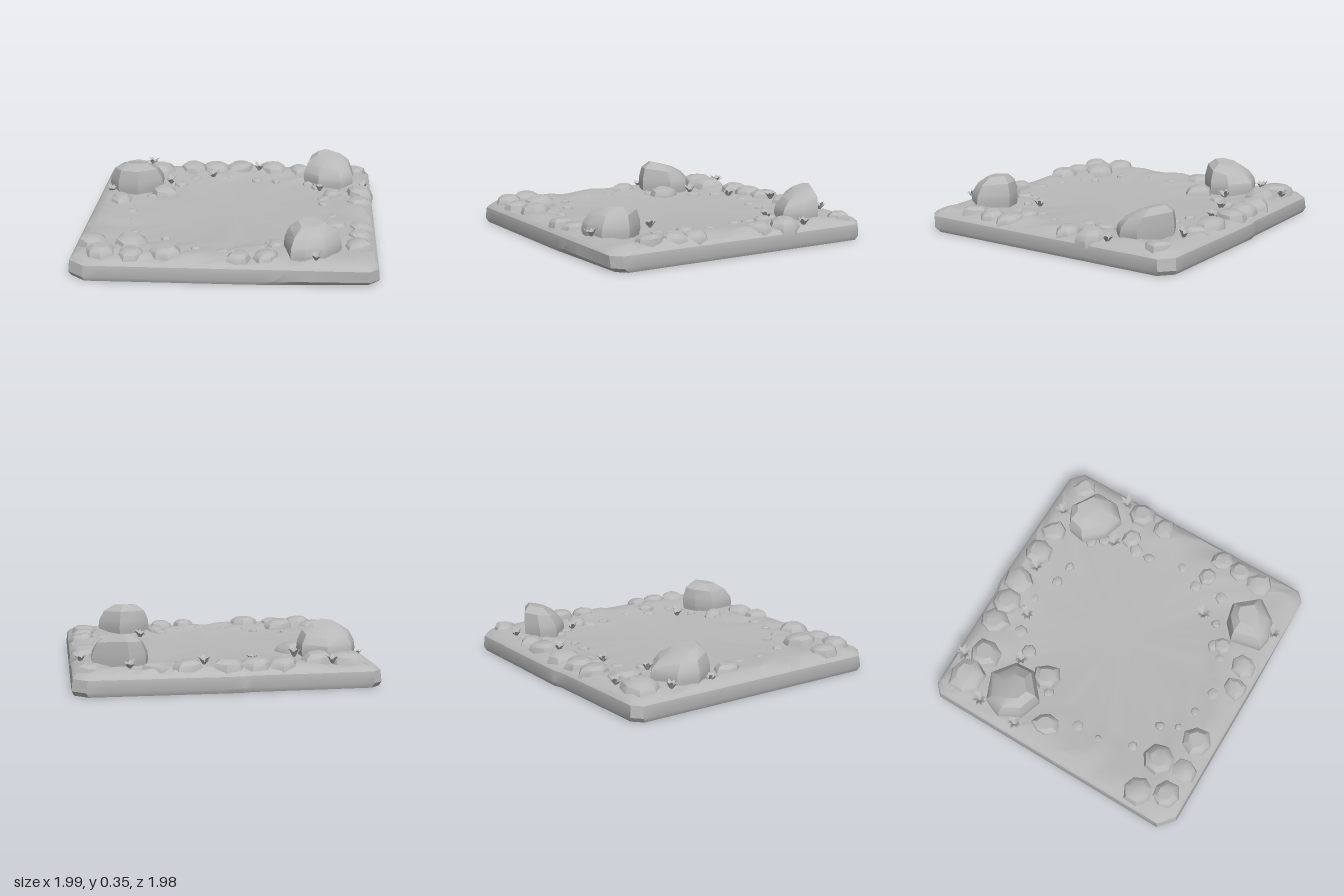
import * as THREE from 'three';
import { toCreasedNormals } from 'three/addons/utils/BufferGeometryUtils.js';

const stone = new THREE.MeshStandardMaterial({ color: 0xb8b8b8 });
stone.name = 'grey stone';
const leaf = new THREE.MeshStandardMaterial({ color: 0xb8b8b8, side: THREE.DoubleSide });
leaf.name = 'grey leaf';

// seeded random numbers
let seed = 7;
const rnd = () => {
  seed = (seed * 16807) % 2147483647;
  return seed / 2147483647;
};

// skins equal-sized rings from bottom to top and closes both ends
function loft(rings, crease) {
  const n = rings[0].length, pos = [], idx = [];
  rings.forEach(r => r.forEach(p => pos.push(...p)));
  const centre = r => [0, 1, 2].map(k => r.reduce((s, p) => s + p[k], 0) / n);
  pos.push(...centre(rings[0]), ...centre(rings[rings.length - 1]));
  const low = rings.length * n, high = low + 1, last = low - n;
  for (let j = 0; j < n; j++) {
    const k = (j + 1) % n;
    for (let i = 0; i < rings.length - 1; i++) {
      const a = i * n + j, b = i * n + k;
      idx.push(a, a + n, b, b, a + n, b + n);
    }
    idx.push(low, j, k, high, last + k, last + j);
  }
  const g = new THREE.BufferGeometry();
  g.setAttribute('position', new THREE.Float32BufferAttribute(pos, 3));
  g.setIndex(idx);
  return toCreasedNormals(g, crease);
}

function add(group, name, geometry, material = stone) {
  const m = new THREE.Mesh(geometry, material);
  m.name = name;
  group.add(m);
  return m;
}

function subgroup(parent, name) {
  const g = new THREE.Group();
  g.name = name;
  parent.add(g);
  return g;
}

// slab with chamfered corners, rounded rim and an uneven border around a flat floor
function slabGeometry() {
  const corners = [[0.99, 0.88], [0.93, 0.94], [-0.87, 0.985], [-0.975, 0.9],
    [-1, -0.85], [-0.94, -0.91], [-0.16, -0.95], [-0.09, -0.97], [0.87, -0.995], [0.96, -0.92]];
  const outline = [];
  corners.forEach(([x, z], i) => {
    const [u, v] = corners[(i + 1) % corners.length];
    const steps = Math.max(1, Math.round(Math.hypot(u - x, v - z) / 0.1));
    for (let s = 0; s < steps; s++) outline.push([x + (u - x) * s / steps, z + (v - z) * s / steps]);
  });
  // scale, height, bump
  const levels = [[0.985, 0, 0], [1, 0.03, 0], [0.992, 0.105, 0], [0.97, 0.128, 0],
    [0.91, 0.135, 0.025], [0.83, 0.135, 0.03], [0.75, 0.132, 0.03], [0.67, 0.13, 0.015], [0.58, 0.13, 0]];
  return loft(levels.map(([s, y, bump]) => outline.map(([x, z]) => {
    // the underside of the front edge is chipped away toward its left end
    const chip = z > 0.85 && x > 0.2 && y < 0.05 ? 0.05 * (x - 0.2) * (1 - y * 20) : 0;
    return [x * s, y + bump * rnd(), z * s - chip];
  })), 0.6);
}

// boulder from a plan outline, with its crown shifted and tilted along z
function boulderGeometry(outline, shift, tilt) {
  const n = outline.length;
  const cx = outline.reduce((s, p) => s + p[0], 0) / n;
  const cz = outline.reduce((s, p) => s + p[1], 0) / n;
  // scale, height, share of shift and tilt
  const levels = [[0.9, 0.08, 0], [1, 0.17, 0], [0.97, 0.22, 0.15], [0.8, 0.285, 0.6], [0.45, 0.33, 1]];
  return loft(levels.map(([s, y, f]) => outline.map(([x, z]) => {
    const oz = (z - cz) * s;
    return [cx + (x - cx) * s, Math.min(0.355, y + f * oz * tilt), cz + oz + shift * f];
  })), 0.5);
}

// low irregular stone
function stoneGeometry(x, z, radius, top) {
  const n = 7, turn = rnd() * 6, tilt = (rnd() - 0.5) * 0.2;
  const radii = Array.from({ length: n }, () => radius * (0.85 + rnd() * 0.3));
  const levels = [[1, 0.09], [0.98, 0.13], [0.82, 0.13 + (top - 0.13) * 0.65], [0.5, top]];
  return loft(levels.map(([s, y], i) => radii.map((r, j) => {
    const a = turn + j / n * Math.PI * 2, px = Math.cos(a) * r * s;
    return [x + px, y + (i > 1 ? tilt * px : 0), z + Math.sin(a) * r * s];
  })), 0.6);
}

// tuft of pointed, arching leaves
function tuftGeometry(size, height) {
  const pos = [], idx = [], n = 9;
  for (let i = 0; i < n; i++) {
    const a = (i + rnd() * 0.5) / n * Math.PI * 2, c = Math.cos(a), s = Math.sin(a);
    const reach = size * (0.75 + rnd() * 0.35), h = height * (0.6 + rnd() * 0.5), w = size * 0.2;
    const at = (r, y, side) => pos.push(c * r - s * side, y, s * r + c * side);
    const b = pos.length / 3;
    at(0.006, 0, -w * 0.6);
    at(0.006, 0, w * 0.6);
    at(reach * 0.55, h * 0.75, -w);
    at(reach * 0.55, h * 0.75, w);
    at(reach, h, 0);
    idx.push(b, b + 2, b + 1, b + 1, b + 2, b + 3, b + 2, b + 4, b + 3);
  }
  const g = new THREE.BufferGeometry();
  g.setAttribute('position', new THREE.Float32BufferAttribute(pos, 3));
  g.setIndex(idx);
  g.computeVertexNormals();
  return g;
}

export function createModel() {
  seed = 7;
  const model = new THREE.Group();
  model.name = 'rockyGroundTile';
  add(model, 'groundSlab', slabGeometry());

  // three large boulders
  add(model, 'backRightBoulder', boulderGeometry([[-0.54, -0.36], [-0.7, -0.21], [-0.85, -0.26],
    [-0.93, -0.4], [-0.88, -0.53], [-0.7, -0.61], [-0.55, -0.5]], 0.03, 0.25));
  add(model, 'backLeftBoulder', boulderGeometry([[0.83, -0.55], [0.74, -0.46], [0.58, -0.5],
    [0.47, -0.62], [0.49, -0.74], [0.6, -0.8], [0.83, -0.68]], -0.05, -0.25));
  add(model, 'frontBoulder', boulderGeometry([[0.75, 0.7], [0.65, 0.84], [0.52, 0.88], [0.43, 0.87],
    [0.38, 0.66], [0.48, 0.57], [0.6, 0.54]], -0.03, -0.12));

  // border stones: x, z, radius; wider ones stand taller
  const stones = subgroup(model, 'borderStones');
  [
    [-0.8, -0.75, 0.13], [-0.6, -0.73, 0.13], [-0.37, -0.81, 0.11], [-0.2, -0.82, 0.11], [-0.02, -0.84, 0.11],
    [0.24, -0.85, 0.11], [0.43, -0.84, 0.09], [0.84, -0.84, 0.09], [0.88, -0.37, 0.11], [0.68, -0.34, 0.08],
    [0.87, -0.18, 0.09], [0.72, 0.28, 0.08], [0.88, 0.3, 0.09], [0.87, 0.45, 0.1], [0.85, 0.61, 0.1],
    [0.33, 0.63, 0.07], [0.28, 0.83, 0.09], [0.1, 0.86, 0.09], [-0.36, 0.83, 0.12], [-0.58, 0.86, 0.09],
    [-0.78, 0.84, 0.11], [-0.85, 0.67, 0.1], [-0.6, 0.68, 0.12], [-0.8, -0.1, 0.1], [-0.51, -0.28, 0.1],
  ].forEach(([x, z, r]) => add(stones, 'borderStone', stoneGeometry(x, z, r, 0.125 + r * 0.62)));

  // small pebbles around the flat floor
  const pebbles = subgroup(model, 'pebbles');
  for (let i = 0; i < 26; i++) {
    const a = (i + rnd() * 0.6) / 26 * Math.PI * 2, r = 0.62 + rnd() * 0.16;
    add(pebbles, 'pebble', stoneGeometry(Math.cos(a) * r, Math.sin(a) * r, 0.03 + rnd() * 0.025, 0.15));
  }

  // leafy tufts: x, z
  const tufts = subgroup(model, 'plantTufts');
  [
    [-0.68, -0.85], [-0.89, -0.58], [-0.5, -0.5], [-0.9, -0.29], [-0.2, -0.65], [0.13, -0.79],
    [0.6, -0.87], [0.9, -0.51], [0.59, -0.43], [0.46, 0.39], [0.59, 0.88],
  ].forEach(([x, z]) => {
    const ground = Math.abs(z) > 0.7 ? 0.155 : 0.135;
    add(tufts, 'plantTuft', tuftGeometry(0.06, 0.055), leaf).position.set(x, ground, z);
  });

  return model;
}
